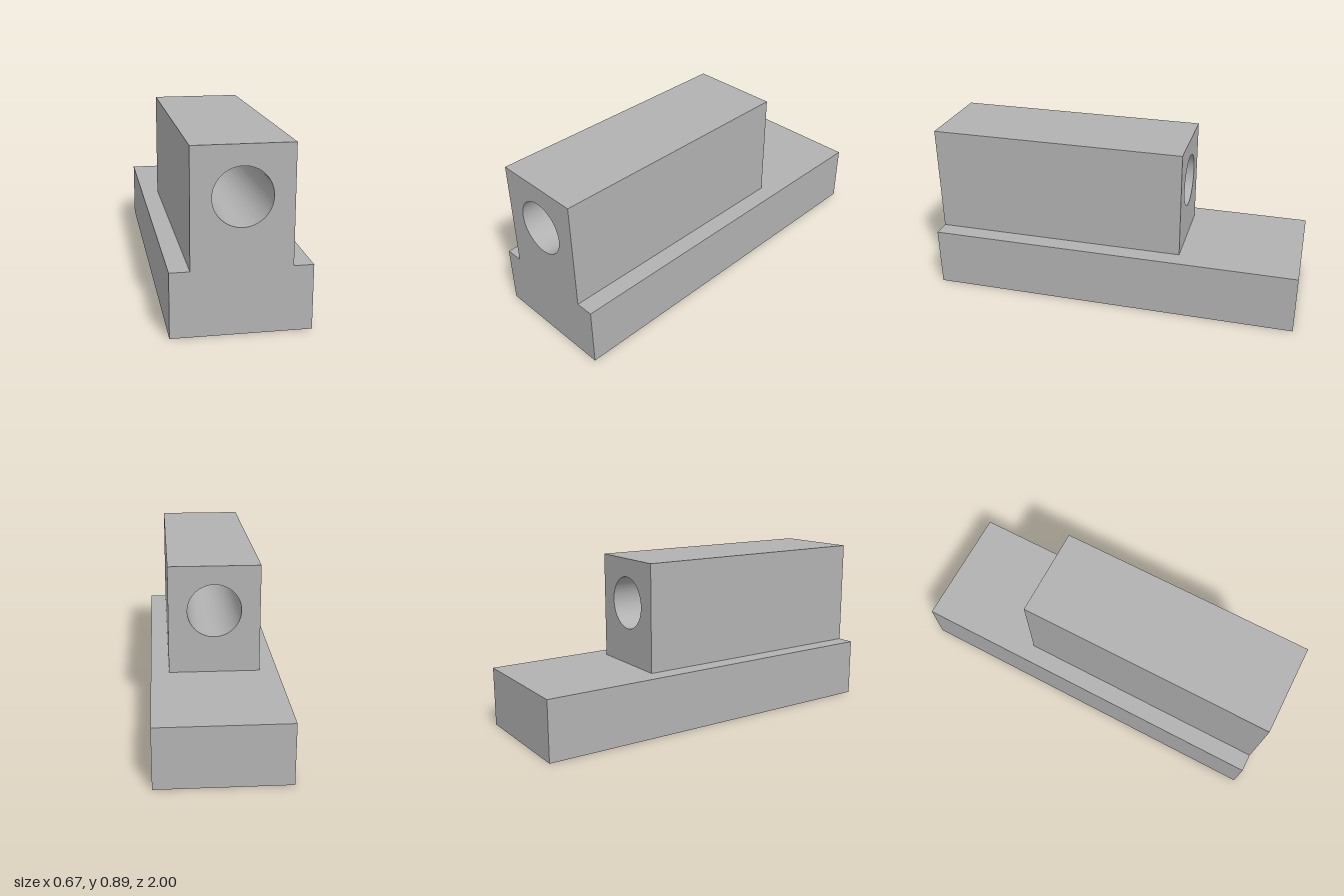
import * as THREE from 'three';
import { toCreasedNormals } from 'three/addons/utils/BufferGeometryUtils.js';

const BASE = { width: 0.666, height: 0.317, length: 2 };
const BLOCK = { width: 0.476, top: 0.889, back: -0.365, front: 1 };
const BORE = { y: 0.651, radius: 0.14 };

export function createModel() {
  const model = new THREE.Group();
  model.name = 'boredSlideBlock';
  const grey = new THREE.MeshStandardMaterial({ color: 0xb2b2b2 });
  grey.name = 'plain grey';

  // Long flat base
  const base = new THREE.Mesh(new THREE.BoxGeometry(BASE.width, BASE.height, BASE.length), grey);
  base.name = 'base';
  base.position.y = BASE.height / 2;
  model.add(base);

  // Upright block, flush with the front, with a round bore right through it
  const half = BLOCK.width / 2;
  const section = new THREE.Shape([
    new THREE.Vector2(-half, BASE.height),
    new THREE.Vector2(half, BASE.height),
    new THREE.Vector2(half, BLOCK.top),
    new THREE.Vector2(-half, BLOCK.top),
  ]);
  section.holes.push(new THREE.Path().absarc(0, BORE.y, BORE.radius, 0, Math.PI * 2, true));
  const geometry = new THREE.ExtrudeGeometry(section, {
    depth: BLOCK.front - BLOCK.back,
    curveSegments: 64,
    bevelEnabled: false,
  });
  const block = new THREE.Mesh(toCreasedNormals(geometry, 0.5), grey);
  block.name = 'boredBlock';
  block.position.z = BLOCK.back;
  model.add(block);

  return model;
}
